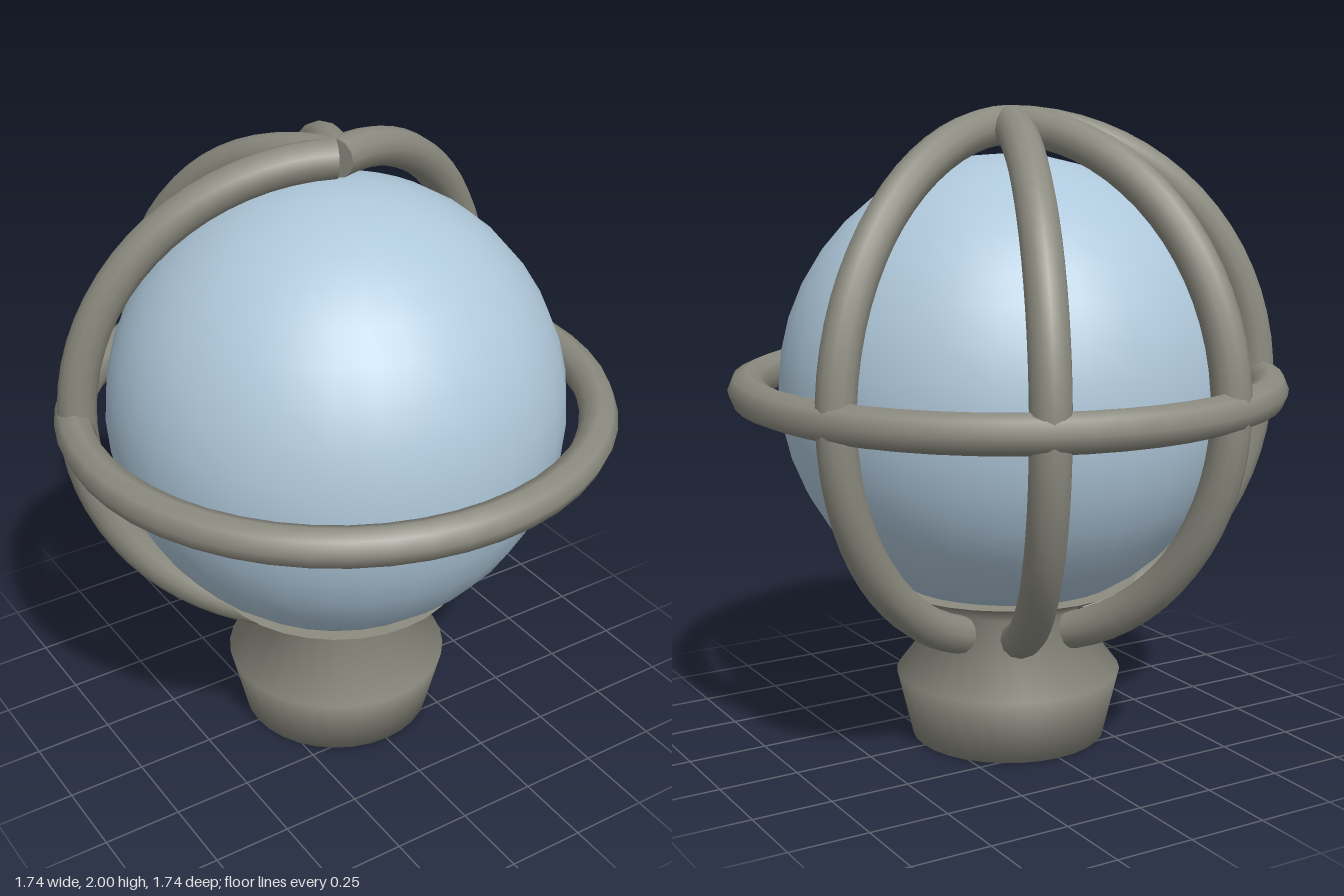
import * as THREE from 'three';
import { mergeGeometries } from 'three/addons/utils/BufferGeometryUtils.js';

const CENTRE_Y = 1.14;
const TUBE = 0.06;
const deg = THREE.MathUtils.degToRad;

// Curved bar in the XY plane, from the pole down to near the base, with flat ends
function ribGeometry(radius, bottomAngle) {
  const top = Math.PI / 2;
  const arc = new THREE.TorusGeometry(radius, TUBE, 12, 32, top - bottomAngle);
  arc.rotateZ(bottomAngle);
  const cap = (angle, tilt) => new THREE.CircleGeometry(TUBE, 12)
    .rotateX(tilt)
    .translate(radius, 0, 0)
    .rotateZ(angle);
  return mergeGeometries([arc, cap(top, -Math.PI / 2), cap(bottomAngle, Math.PI / 2)]);
}

export function createModel() {
  const model = new THREE.Group();
  model.name = 'caged globe on a stand';

  const stone = new THREE.MeshStandardMaterial({ color: 0x8c8b80 });
  stone.name = 'warm grey';
  const glass = new THREE.MeshStandardMaterial({ color: 0xafc8db });
  glass.name = 'pale blue';

  const add = (name, geometry, material, y) => {
    const mesh = new THREE.Mesh(geometry, material);
    mesh.name = name;
    mesh.position.y = y;
    model.add(mesh);
    return mesh;
  };

  // Stand: tapered foot, narrow neck and flared dish
  const profile = [[0, 0], [0.31, 0], [0.36, 0.21], [0.2, 0.42], [0.41, 0.52]]
    .map(([r, y]) => new THREE.Vector2(r, y));
  add('stand', new THREE.LatheGeometry(profile, 32), stone, 0);
  add('dishTop', new THREE.CircleGeometry(0.41, 32).rotateX(-Math.PI / 2), stone, 0.52);

  // Globe
  add('globe', new THREE.SphereGeometry(0.715, 32, 20), glass, CENTRE_Y);

  // Horizontal ring around the globe
  const ring = new THREE.TorusGeometry(0.812, TUBE, 8, 48).rotateX(Math.PI / 2);
  add('equatorRing', ring, stone, CENTRE_Y);

  // Four ribs fanned across the back half
  const rib = ribGeometry(0.8, deg(-72));
  for (let i = 0; i < 4; i++) {
    add(`rib${i + 1}`, rib, stone, CENTRE_Y).rotation.y = deg(22.5 + 45 * i);
  }

  return model;
}
